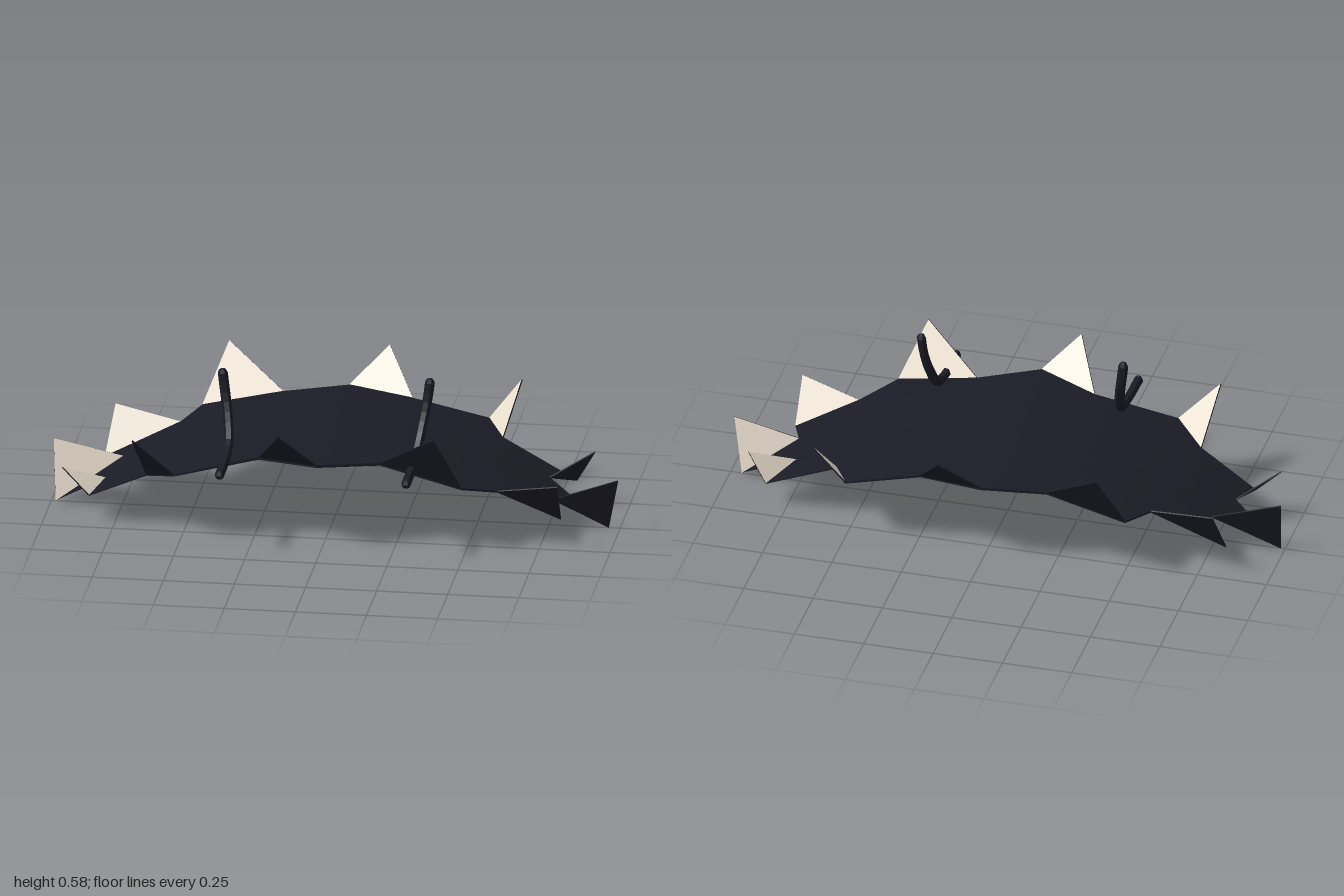
import * as THREE from 'three';

const CENTRE_X = -0.0125, RADIUS = 1.593;
const archY = x => 0.333 - RADIUS + Math.sqrt(RADIUS ** 2 - (x - CENTRE_X) ** 2);
const UNDER = 0.97; // underside height relative to the top
const FLAP_THICKNESS = 0.005;

// Each point of the star: [tip x, z], [next notch x, z], [folded flap apex x, y, z]
const POINTS = [
  [[-0.985, 0], [-0.76, -0.09], [-1, 0.21, -0.06]],
  [[-0.84, -0.2], [-0.58, -0.24], [-0.815, 0.265, -0.29]],
  [[-0.52, -0.365], [-0.235, -0.355], [-0.44, 0.455, -0.465]],
  [[-0.01, -0.41], [0.22, -0.355], [0.12, 0.455, -0.497]],
  [[0.49, -0.365], [0.555, -0.24], [0.6, 0.39, -0.39]],
  [[0.82, -0.2], [0.74, -0.09], [0.885, 0.21, -0.19]],
  [[0.96, 0], [0.775, 0.08], [1, 0.195, 0.05]],
  [[0.82, 0.2], [0.605, 0.25], [0.82, 0.25, 0.295]],
  [[0.49, 0.355], [0.2, 0.325], [0.405, 0.455, 0.442]],
  [[-0.01, 0.417], [-0.225, 0.325], [-0.135, 0.455, 0.485]],
  [[-0.52, 0.355], [-0.63, 0.25], [-0.66, 0.385, 0.4]],
  [[-0.84, 0.2], [-0.8, 0.08], [-0.935, 0.195, 0.187]],
];
const OUTLINE = POINTS.flatMap(([tip, notch]) => [tip, notch]);

function surface(positions, index) {
  const g = new THREE.BufferGeometry();
  g.setAttribute('position', new THREE.Float32BufferAttribute(positions, 3));
  if (index) g.setIndex(index);
  g.computeVertexNormals();
  return g;
}

// Star-shaped sheet as concentric rings draped over the arch
function sheetGeometry(heightScale, facesUp) {
  const n = OUTLINE.length, rings = 10;
  const pos = [CENTRE_X, archY(CENTRE_X) * heightScale, 0], idx = [];
  for (let r = 1; r <= rings; r++) {
    for (const [x, z] of OUTLINE) {
      const px = CENTRE_X + (x - CENTRE_X) * r / rings;
      pos.push(px, archY(px) * heightScale, z * r / rings);
    }
  }
  for (let i = 0; i < n; i++) {
    const j = (i + 1) % n;
    idx.push(0, 1 + j, 1 + i);
    for (let r = 1; r < rings; r++) {
      const a = 1 + (r - 1) * n, b = a + n;
      idx.push(a + i, a + j, b + j, a + i, b + j, b + i);
    }
  }
  return surface(pos, facesUp ? idx : idx.reverse());
}

// Thin rim joining the top and underside of the sheet
function rimGeometry() {
  const pos = [];
  OUTLINE.forEach(([x, z], i) => {
    const [x2, z2] = OUTLINE[(i + 1) % OUTLINE.length];
    const a = [x, archY(x), z], b = [x2, archY(x2), z2];
    const c = [x, archY(x) * UNDER, z], d = [x2, archY(x2) * UNDER, z2];
    pos.push(...a, ...b, ...d, ...a, ...d, ...c);
  });
  return surface(pos);
}

// Inner face of a flap, and the outer face with its three thin edges
function flapGeometries([tip, notch, apex]) {
  const corners = [
    new THREE.Vector3(tip[0], archY(tip[0]), tip[1]),
    new THREE.Vector3(notch[0], archY(notch[0]), notch[1]),
    new THREE.Vector3(...apex),
  ];
  const normal = new THREE.Triangle(...corners).getNormal(new THREE.Vector3());
  const shift = d => corners.map(c => c.clone().addScaledVector(normal, d).toArray());
  const inner = shift(FLAP_THICKNESS / 2), outer = shift(-FLAP_THICKNESS / 2);
  const back = [...outer[1], ...outer[0], ...outer[2]];
  for (let i = 0; i < 3; i++) {
    const j = (i + 1) % 3;
    back.push(...inner[i], ...outer[i], ...outer[j], ...inner[i], ...outer[j], ...inner[j]);
  }
  return [surface(inner.flat()), surface(back)];
}

// Facets a geometry by giving every triangle its own normals
function faceted(geometry) {
  const g = geometry.toNonIndexed();
  g.computeVertexNormals();
  return g;
}

export function createModel() {
  const group = new THREE.Group();
  const dark = new THREE.MeshStandardMaterial({ name: 'dark navy', color: 0x1a1b25 });
  const tan = new THREE.MeshStandardMaterial({ name: 'pale tan', color: 0xebe0d0 });
  const add = (name, geometry, material, parent = group) => {
    const m = new THREE.Mesh(geometry, material);
    m.name = name;
    parent.add(m);
    return m;
  };

  add('sheetTop', sheetGeometry(1, true), dark);
  add('sheetUnderside', sheetGeometry(UNDER, false), dark);
  add('sheetRim', rimGeometry(), dark);

  // Folded-up flaps: pale inside, dark outside
  const flaps = new THREE.Group();
  flaps.name = 'foldedFlaps';
  group.add(flaps);
  for (const point of POINTS) {
    const [inside, outside] = flapGeometries(point);
    add('flapInside', inside, tan, flaps);
    add('flapOutside', outside, dark, flaps);
  }

  // Curved prongs rising from the front edge: [sideways lean, y, z]
  const PATH = [
    [0, 0.303, 0.48], [0, 0.307, 0.36], [0.001, 0.32, 0.28], [0.004, 0.345, 0.225],
    [0.012, 0.4, 0.185], [0.022, 0.46, 0.158], [0.03, 0.51, 0.148], [0.036, 0.56, 0.146],
  ];
  for (const side of [-1, 1]) {
    const prong = new THREE.Group();
    prong.name = side > 0 ? 'leftProng' : 'rightProng';
    const pts = PATH.map(([lean, y, z]) =>
      new THREE.Vector3(CENTRE_X + side * (0.328 + lean), y, z));
    const curve = new THREE.CatmullRomCurve3(pts);
    add('prongStem', faceted(new THREE.TubeGeometry(curve, 14, 0.0175, 6)), dark, prong);
    for (const end of [pts[0], pts[pts.length - 1]]) {
      add('prongEnd', faceted(new THREE.SphereGeometry(0.0175, 6, 4)), dark, prong).position.copy(end);
    }
    group.add(prong);
  }
  return group;
}
